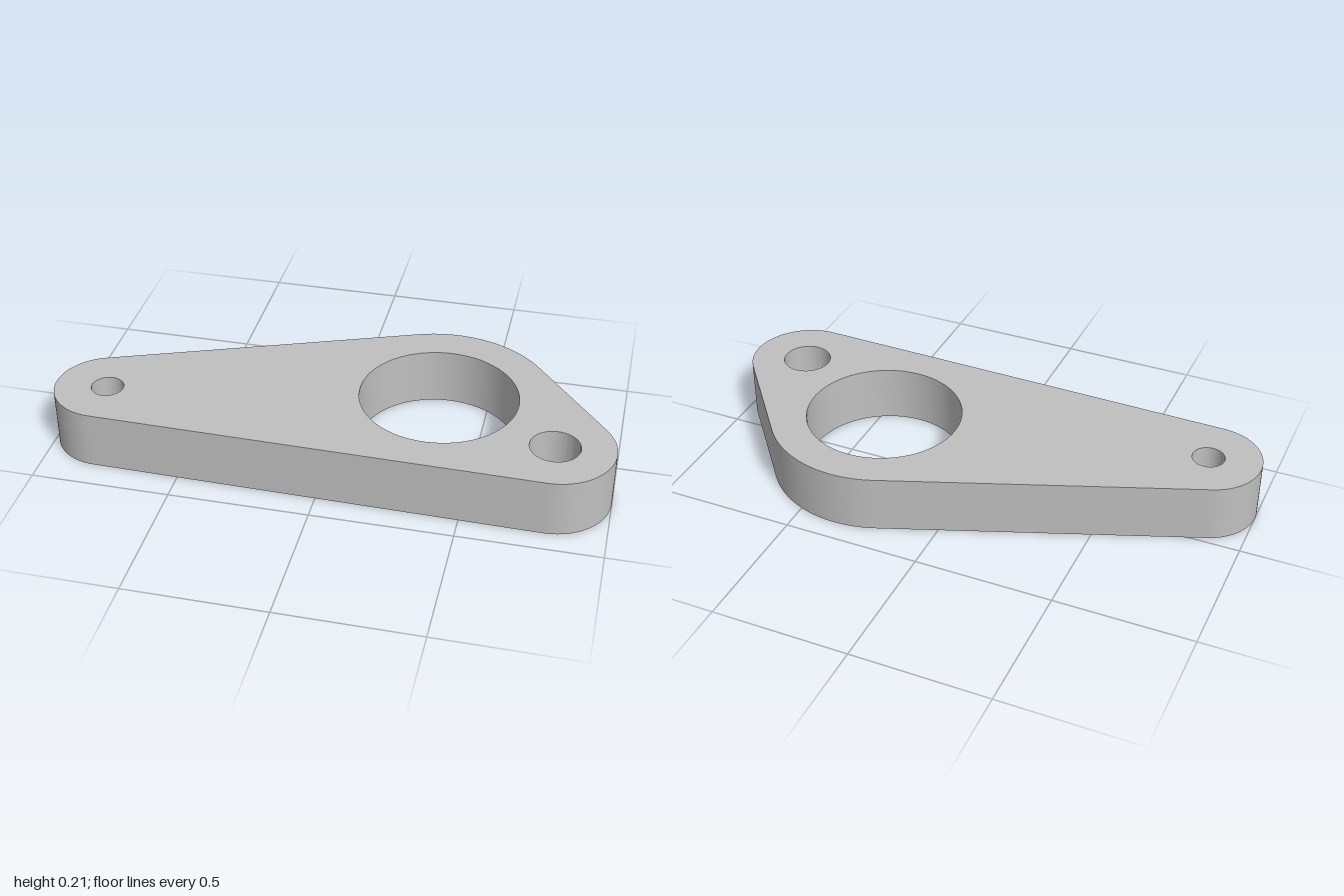
import * as THREE from 'three';
import { toCreasedNormals } from 'three/addons/utils/BufferGeometryUtils.js';

const THICKNESS = 0.21;

// Three bosses, counter-clockwise from above: centre, outer radius, bore radius
const bosses = [
  { x: -0.81, z: 0.202, r: 0.19, bore: 0.058 },
  { x: 0.79, z: 0.208, r: 0.21, bore: 0.088 },
  { x: 0.355, z: -0.004, r: 0.415, bore: 0.284 },
];

// Angle of the outward normal of the outer tangent line from boss a to boss b
function tangentAngle(a, b) {
  const dx = b.x - a.x, dy = a.z - b.z;
  return Math.atan2(dy, dx) - Math.acos((a.r - b.r) / Math.hypot(dx, dy));
}

export function createModel() {
  const metal = new THREE.MeshStandardMaterial({ color: 0xc0c0c0 });
  metal.name = 'light grey metal';

  // Outline: an arc round each boss, joined by tangent lines
  const outline = new THREE.Shape();
  bosses.forEach((boss, i) => {
    const previous = bosses[(i + 2) % 3], next = bosses[(i + 1) % 3];
    outline.absarc(boss.x, -boss.z, boss.r,
      tangentAngle(previous, boss), tangentAngle(boss, next), false);
  });
  outline.closePath();

  // Through holes
  for (const { x, z, bore } of bosses) {
    outline.holes.push(new THREE.Path().absarc(x, -z, bore, 0, Math.PI * 2, true));
  }

  // Plate, laid flat on the ground
  const plate = new THREE.ExtrudeGeometry(outline, {
    depth: THICKNESS, bevelEnabled: false, curveSegments: 32,
  });
  plate.rotateX(-Math.PI / 2);

  const mesh = new THREE.Mesh(toCreasedNormals(plate, 0.6), metal);
  mesh.name = 'mountingPlate';

  const group = new THREE.Group();
  group.name = 'threeHoleBracket';
  group.add(mesh);
  return group;
}
